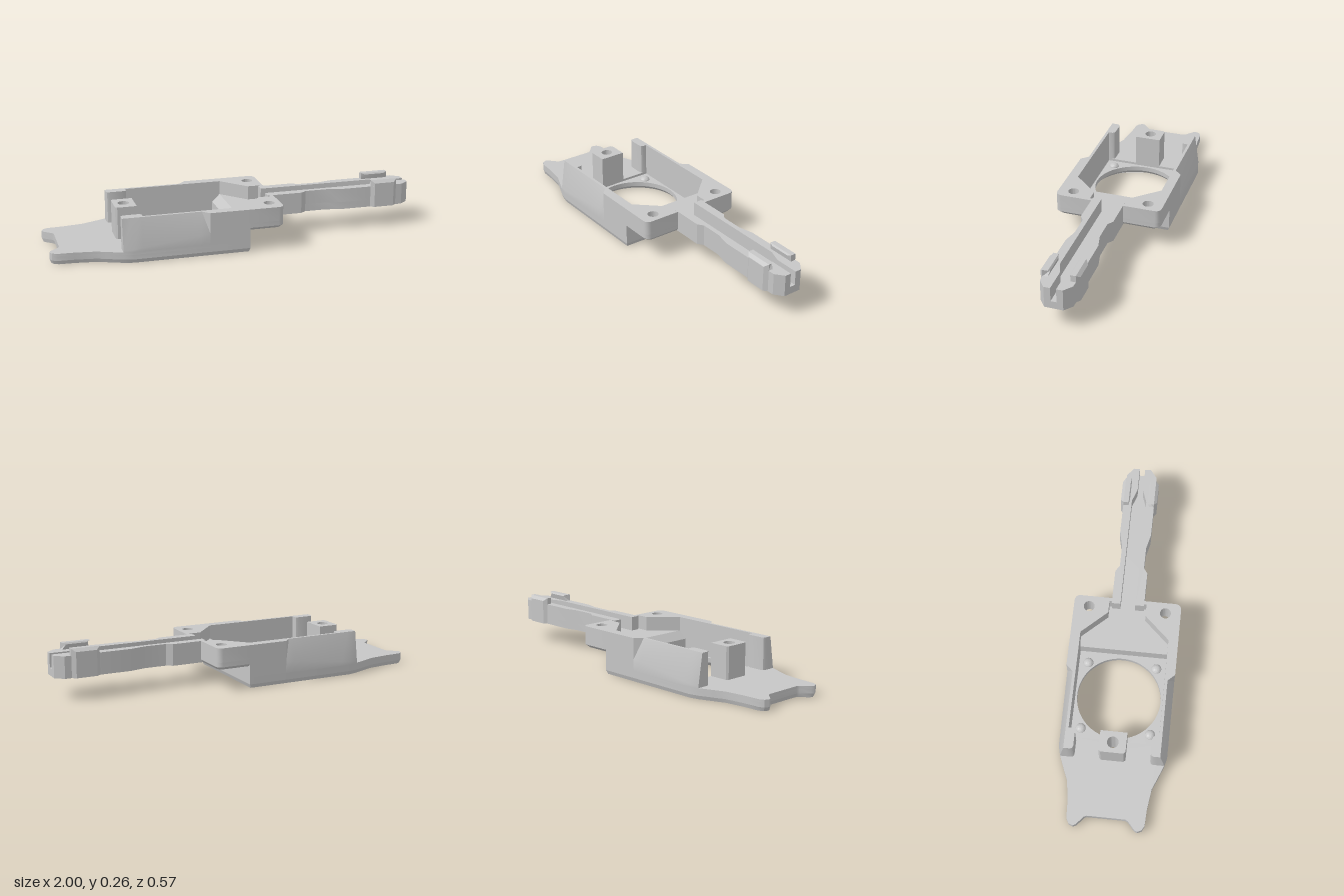
import * as THREE from 'three';
import { toCreasedNormals } from 'three/addons/utils/BufferGeometryUtils.js';

const grey = new THREE.MeshStandardMaterial({ color: 0xc6c6c6 });
grey.name = 'plain grey';

const WIDE = 0.287;        // half width of the body
const TOP = 0.23;          // height of the walls and arm
const EYE = [-0.29, 0];    // centre of the round opening

const mirrored = (half) => [...half, ...half.map(([x, z]) => [x, -z]).reverse()];

// Counter-clockwise shape from points, with round holes given as [x, z, radius]
function outline(points, holes = []) {
  const corners = points.map(([a, b]) => new THREE.Vector2(a, b));
  if (THREE.ShapeUtils.isClockWise(corners)) corners.reverse();
  const shape = new THREE.Shape(corners);
  for (const [x, z, r] of holes) {
    const hole = new THREE.Path();
    hole.absarc(x, z, r, 0, Math.PI * 2, true);
    shape.holes.push(hole);
  }
  return shape;
}

// Optionally move the vertices by a rule, then set normals and name
function finish(name, geometry, rule) {
  if (rule) {
    const p = geometry.attributes.position;
    const v = new THREE.Vector3();
    for (let i = 0; i < p.count; i++) {
      v.fromBufferAttribute(p, i);
      rule(v);
      p.setXYZ(i, v.x, v.y, v.z);
    }
  }
  const mesh = new THREE.Mesh(toCreasedNormals(geometry, 0.5), grey);
  mesh.name = name;
  return mesh;
}

// Plan outline (x, z) raised from y0 to y1
function layer(name, shape, y0, y1, rule) {
  const g = new THREE.ExtrudeGeometry(shape, { depth: y1 - y0, bevelEnabled: false, curveSegments: 32 });
  g.rotateX(-Math.PI / 2).translate(0, y0, 0);
  return finish(name, g, rule);
}

// Cross-section (z, y) run along x from x0 to x1
function run(name, points, side, x0, x1, rule, steps = 1) {
  const g = new THREE.ExtrudeGeometry(outline(points.map(([z, y]) => [-z * side, y])),
    { depth: x1 - x0, bevelEnabled: false, steps });
  g.rotateY(Math.PI / 2).translate(x0, 0, 0);
  return finish(name, g, rule);
}

export function createModel() {
  const model = new THREE.Group();
  model.name = 'mountingBracket';
  const add = (...meshes) => model.add(...meshes);

  // Base plate with forked end, round opening and chamfered underside
  const plate = mirrored([
    [-0.943, 0.1], [-0.95, 0.115], [-0.993, 0.152], [-1, 0.168], [-0.99, 0.19], [-0.965, 0.203],
    [-0.88, 0.207], [-0.77, 0.222], [-0.72, 0.243], [-0.64, 0.275], [-0.59, WIDE], [0.025, WIDE],
  ]);
  const postHole = [-0.585, 0, 0.03];
  const openings = [[...EYE, 0.225], postHole];
  add(layer('baseUnderside', outline(plate, openings), 0, 0.02, (v) => {
    if (v.y > 0.01) return;
    if (Math.hypot(v.x - EYE[0], v.z) < 0.23) {
      v.x = EYE[0] + (v.x - EYE[0]) * 1.08;
      v.z *= 1.08;
    } else if (Math.hypot(v.x - postHole[0], v.z) < 0.04) {
      v.x = postHole[0] + (v.x - postHole[0]) * 1.6;
      v.z *= 1.6;
    } else {
      v.x = -0.4875 + (v.x + 0.4875) * 0.985;
      v.z *= 0.976;
    }
  }));
  add(layer('basePlate', outline(plate, openings), 0.02, 0.045));
  const upper = outline(plate, [postHole]);
  upper.holes.push(new THREE.Path([[-0.53, -0.235], [-0.53, 0.235], [0, 0.235], [0, -0.235]]
    .map(([x, z]) => new THREE.Vector2(x, z))));
  add(layer('basePlateTop', upper, 0.045, 0.058));

  // Low domed studs around the opening
  for (const x of [-0.475, -0.105]) {
    for (const z of [-0.185, 0.185]) {
      const dome = new THREE.SphereGeometry(0.027, 24, 8, 0, Math.PI * 2, 0, Math.PI / 2);
      add(finish('stud', dome.scale(1, 0.7, 1).translate(x, 0.044, z)));
    }
  }

  // Drilled post
  add(layer('drilledPost', outline(mirrored([
    [-0.64, 0.06], [-0.63, 0.07], [-0.527, 0.07],
  ]), [postHole]), 0.058, TOP));

  // Bulkhead and bevelled step joining the base to the raised shelf
  add(run('bulkhead', [[-WIDE, 0.058], [WIDE, 0.058], [WIDE, 0.155], [-WIDE, 0.155]], 1, 0, 0.025));
  add(run('step', [[-0.236, 0.045], [0.236, 0.045], [0.236, 0.155], [-0.236, 0.155]], 1, -0.042, 0,
    (v) => { if (v.x < -0.02 && v.y > 0.1) v.y = 0.115; }));

  // Raised shelf with rounded corners and chamfered underside
  const corner = [0, 1, 2, 3, 4].map((i) => {
    const a = (i * Math.PI) / 8;
    return [0.179 + 0.03 * Math.sin(a), WIDE - 0.03 + 0.03 * Math.cos(a)];
  });
  const shelf = mirrored([[0, WIDE], ...corner]);
  const bolts = [[0.15, 0.205, 0.029], [0.15, -0.205, 0.029]];
  add(layer('shelfUnderside', outline(shelf, bolts), 0.115, 0.13, (v) => {
    const inBolt = Math.hypot(v.x - 0.15, Math.abs(v.z) - 0.205) < 0.035;
    if (v.y < 0.12 && !inBolt) {
      v.z *= 0.945;
      if (v.x > 0.1) v.x -= 0.012;
    }
  }));
  add(layer('shelfFloor', outline(shelf, bolts), 0.13, 0.155));

  // Arm floor
  const armSide = [
    [0.18, 0.087], [0.37, 0.087], [0.4, 0.066], [0.52, 0.066], [0.6, 0.085], [0.77, 0.085],
    [0.79, 0.1], [0.9, 0.1], [0.92, 0.084], [0.955, 0.083], [1, 0.048],
  ];
  add(layer('armFloor', outline(mirrored(armSide)), 0.115, 0.155));

  for (const s of [1, -1]) {
    const flip = (points) => points.map(([x, z]) => [x, z * s]);

    // Shelf rim around the tapering recess
    add(layer('shelfRim', outline(flip([
      [0, 0.235], [0.125, 0.1], [0.19, 0.1], [0.19, 0.042], [0.209, 0.042],
      ...[...corner].reverse(), [0, WIDE],
    ]), [[0.15, 0.205 * s, 0.029]]), 0.155, TOP));

    // Side wall: leaning part, then upright part, meeting on a slanted facet
    const notch = (v) => {
      if (v.x > -0.2 && v.x < -0.1 && v.y > 0.22 && Math.abs(v.z) < 0.26) v.x = -0.225;
    };
    add(run('leaningWall', [
      [0.235, 0.056], [WIDE, 0.056], [WIDE, 0.12], [0.25, TOP], [0.235, TOP],
    ], s, -0.64, -0.19, (v) => {
      notch(v);
      // the fold drops towards the forked end
      if (v.y > 0.1 && v.y < 0.15) v.y = 0.12 + (v.x + 0.19) * 0.12;
      if (v.x < -0.63 && Math.abs(v.z) > 0.28) v.z = 0.275 * Math.sign(v.z);
    }, 9));
    add(run('uprightWall', [
      [0.235, 0.056], [WIDE, 0.056], [WIDE, 0.12], [WIDE, TOP], [0.25, TOP], [0.235, TOP],
    ], s, -0.19, 0, notch));
    add(layer('wallEnd', outline(flip([
      [-0.64, 0.215], [-0.635, 0.204], [-0.622, 0.2], [-0.548, 0.2], [-0.535, 0.204],
      [-0.53, 0.215], [-0.53, 0.24], [-0.64, 0.24],
    ])), 0.056, TOP));

    // Arm rail beside the channel
    add(layer('armRail', outline(flip([
      ...armSide, [1, 0.015], [0.87, 0.015], [0.8, 0.04], [0.18, 0.04],
    ])), 0.155, TOP));

    // Hooked clip on the arm, its ends bevelled in plan
    const bevel = (v) => {
      if (Math.abs(v.z) > 0.09 || Math.abs(v.z) < 0.054) v.x += v.x < 0.85 ? 0.02 : -0.02;
    };
    add(run('clipHook', [
      [0.058, 0.228], [0.084, 0.228], [0.084, 0.265], [0.056, 0.265], [0.05, 0.257],
    ], s, 0.77, 0.92, bevel));
    add(run('clipBack', [
      [0.084, 0.228], [0.1, 0.228], [0.1, 0.249], [0.084, 0.265],
    ], s, 0.77, 0.92, bevel));
  }
  return model;
}
